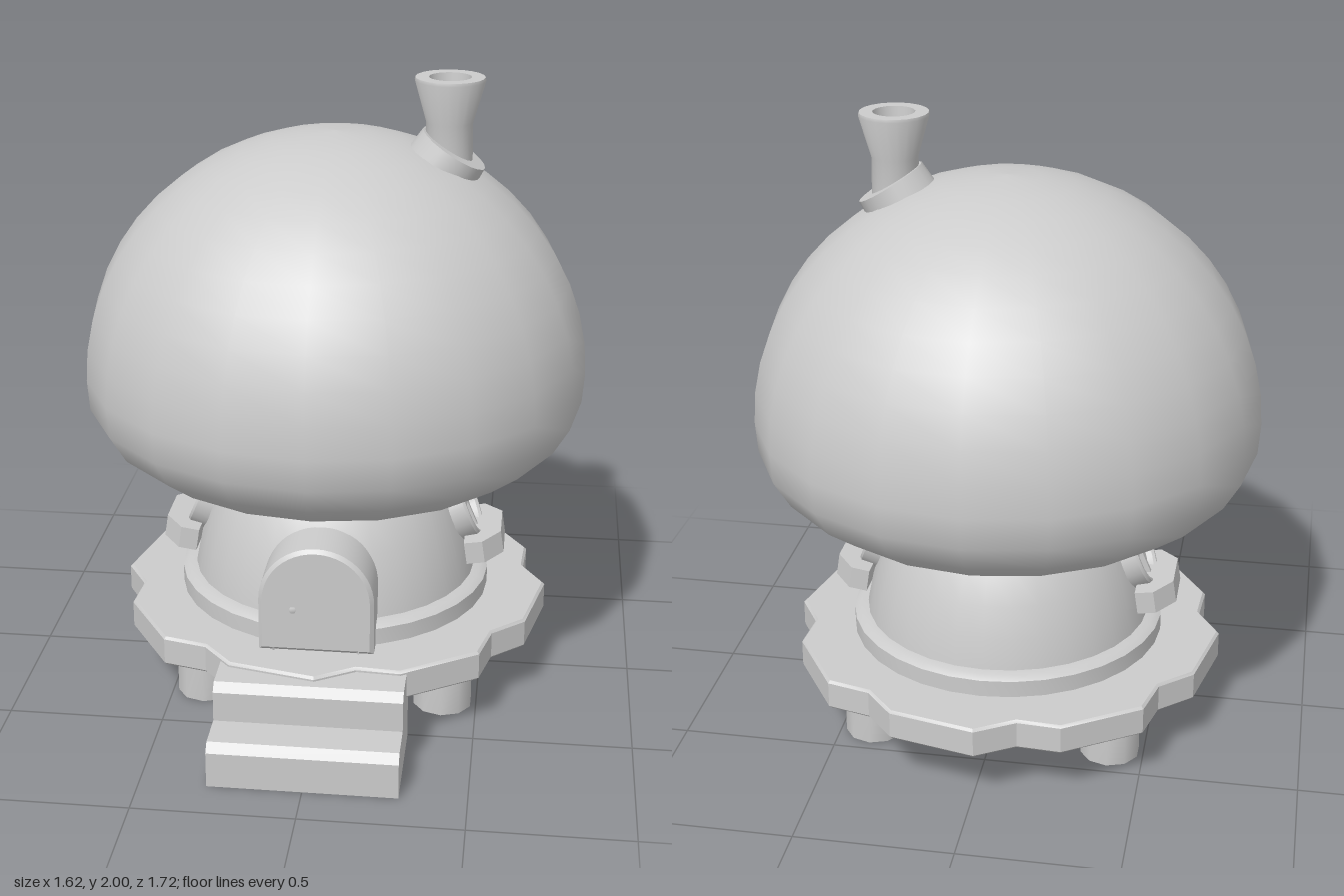
import * as THREE from 'three';
import { toCreasedNormals } from 'three/addons/utils/BufferGeometryUtils.js';

const CZ = -0.05; // z of the house axis

const material = new THREE.MeshStandardMaterial({ color: 0xcccccc, side: THREE.DoubleSide });
const v2 = (pts) => pts.map(([x, y]) => new THREE.Vector2(x, y));

function add(parent, name, geometry, x = 0, y = 0, z = 0) {
  const mesh = new THREE.Mesh(geometry, material);
  mesh.name = name;
  mesh.position.set(x, y, z);
  parent.add(mesh);
  return mesh;
}

const lathe = (pts, segments) => new THREE.LatheGeometry(v2(pts), segments);
const creased = (geometry, angle = 0.6) => toCreasedNormals(geometry, angle);

function extrude(shape, depth, bevel = 0) {
  return creased(new THREE.ExtrudeGeometry(shape, {
    depth: depth - 2 * bevel, curveSegments: 12, bevelEnabled: bevel > 0,
    bevelSize: bevel, bevelOffset: -bevel, bevelThickness: bevel, bevelSegments: 1,
  }).translate(0, 0, bevel), 0.5);
}

// Upright rectangle with a round top
function arch(r, bottom, spring, PathType = THREE.Shape) {
  const p = new PathType();
  p.moveTo(-r, bottom);
  p.lineTo(r, bottom);
  p.lineTo(r, spring);
  p.absarc(0, spring, r, 0, Math.PI, false);
  p.lineTo(-r, bottom);
  return p;
}

function makeWindow(side) {
  const group = new THREE.Group();
  group.name = 'window';

  // Round frame with cross bars, leaning back with the wall
  const frame = new THREE.Group();
  frame.name = 'windowFrame';
  const ring = new THREE.Shape().absarc(0, 0, 0.122, 0, Math.PI * 2, false);
  ring.holes.push(new THREE.Path().absarc(0, 0, 0.098, 0, Math.PI * 2, true));
  add(frame, 'windowRing', extrude(ring, 0.1, 0.008), 0, 0, -0.04);
  add(frame, 'windowPane', new THREE.CircleGeometry(0.1, 24), 0, 0, 0.032);
  add(frame, 'windowBarUpright', new THREE.BoxGeometry(0.015, 0.2, 0.02), 0, 0, 0.038);
  add(frame, 'windowBarLevel', new THREE.BoxGeometry(0.2, 0.015, 0.02), 0, 0.01, 0.038);
  frame.rotation.x = -0.4;
  frame.position.set(0, 0.555, 0.4);
  group.add(frame);

  // Flower box with cut front corners
  const plan = new THREE.Shape(v2([[-0.15, 0.06], [-0.15, 0], [-0.08, -0.06], [0.08, -0.06], [0.15, 0], [0.15, 0.06]]));
  const box = add(group, 'windowBox', extrude(plan, 0.075).rotateX(-Math.PI / 2).translate(0, -0.0375, 0), 0, 0.46, 0.505);
  box.rotation.x = -0.15;

  group.rotation.y = side * Math.PI / 2;
  group.position.z = CZ;
  return group;
}

export function createModel() {
  const house = new THREE.Group();
  house.name = 'mushroomHouse';

  // Mushroom cap: rounded lip below, half ellipse above
  const cap = [[0.001, 0.765], [0.25, 0.755], [0.42, 0.742], [0.535, 0.737], [0.65, 0.78], [0.75, 0.855], [0.803, 0.945]];
  for (let i = 0; i <= 12; i++) {
    const t = (i / 12) * Math.PI / 2;
    cap.push([Math.max(0.81 * Math.cos(t), 0.0005), 1.045 + 0.777 * Math.sin(t)]);
  }
  add(house, 'cap', lathe(cap, 20), 0, 0, CZ);

  // Domed wall and its foot ring
  add(house, 'wall', lathe([[0.48, 0.27], [0.468, 0.36], [0.45, 0.45], [0.422, 0.55], [0.38, 0.65], [0.32, 0.74], [0.25, 0.8]], 32), 0, 0, CZ);
  add(house, 'footRing', creased(lathe([[0.45, 0.27], [0.515, 0.27], [0.515, 0.335], [0.495, 0.348], [0.45, 0.35]], 32)), 0, 0, CZ);

  // Pegs holding up the cap
  for (let i = 0; i < 5; i++) {
    const a = Math.PI + i * Math.PI * 2 / 5;
    const peg = add(house, 'capPeg', creased(new THREE.CylinderGeometry(0.028, 0.022, 0.16, 8), 0.9),
      0.405 * Math.sin(a), 0.72, CZ + 0.405 * Math.cos(a));
    peg.rotation.order = 'YXZ';
    peg.rotation.set(1.05, a, 0);
  }

  // Wavy platform: eight lobes with notches between
  const outline = [];
  for (let i = 0; i < 8; i++) {
    for (const [offset, r] of [[0, 0.65], [11, 0.7], [34, 0.71]]) {
      const a = THREE.MathUtils.degToRad(12 + 45 * i + offset);
      outline.push([r * Math.cos(a), r * Math.sin(a)]);
    }
  }
  add(house, 'platform', extrude(new THREE.Shape(v2(outline)), 0.1, 0.008).rotateX(-Math.PI / 2), 0, 0.18, CZ);

  // Four stubby legs
  for (const x of [-0.39, 0.39]) {
    for (const z of [0.275, -0.37]) {
      add(house, 'leg', creased(new THREE.CylinderGeometry(0.097, 0.097, 0.19, 10), 0.7), x, 0.095, z);
    }
  }

  // Two front steps, profile drawn in (z, y)
  const steps = new THREE.Shape(v2([[0.505, 0], [0.86, 0], [0.86, 0.115], [0.835, 0.142], [0.715, 0.142],
    [0.715, 0.24], [0.69, 0.266], [0.505, 0.266]]));
  add(house, 'steps', extrude(steps, 0.585).rotateY(-Math.PI / 2), 0.2925, 0, 0);

  // Arched doorway with a recessed door
  const frame = arch(0.182, 0.28, 0.453);
  frame.holes.push(arch(0.125, 0.28, 0.453, THREE.Path));
  add(house, 'doorFrame', extrude(frame, 0.3, 0.012), 0, 0, 0.205);
  add(house, 'door', extrude(arch(0.128, 0.28, 0.453), 0.2), 0, 0, 0.265);
  add(house, 'doorKnob', new THREE.SphereGeometry(0.028, 14, 10), -0.073, 0.425, 0.48);

  house.add(makeWindow(1), makeWindow(-1));

  // Flared chimney pot in a collar tilted with the cap
  add(house, 'chimney', creased(lathe([[0.075, 1.68], [0.073, 1.86], [0.11, 1.99], [0.108, 2], [0.066, 2], [0.055, 1.87], [0.0005, 1.87]], 20)), 0.355, 0, CZ + 0.01);
  const collar = add(house, 'chimneyCollar', creased(new THREE.CylinderGeometry(0.115, 0.122, 0.1, 20)), 0.345, 1.735, CZ + 0.01);
  collar.rotation.z = -0.56;

  return house;
}
